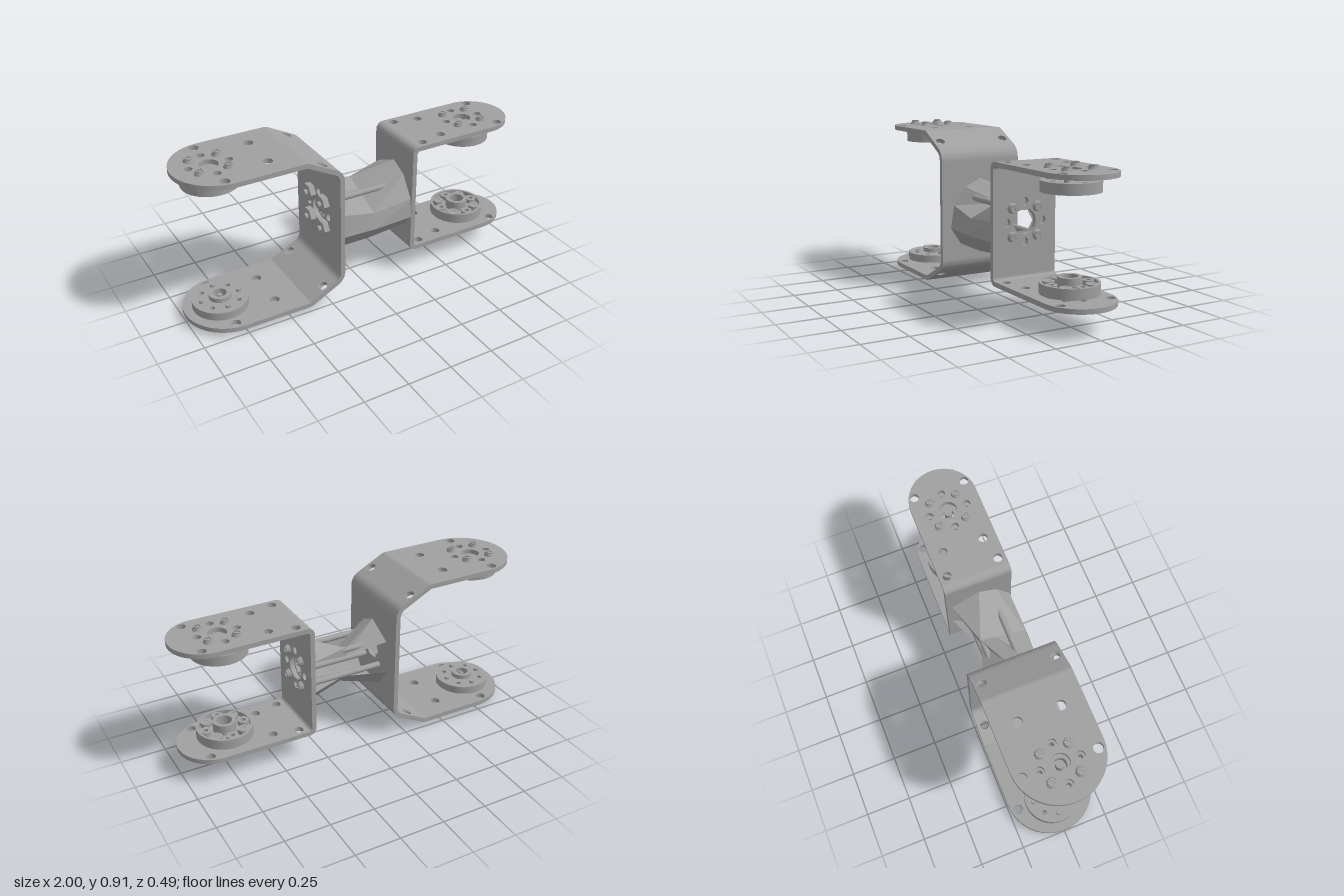
import * as THREE from 'three';
import { toCreasedNormals, mergeGeometries } from 'three/addons/utils/BufferGeometryUtils.js';

const CY = 0.4645; // height of the joint axis
const T = 0.026; // sheet thickness
const metal = new THREE.MeshStandardMaterial({ color: 0xa0a0a0 });
metal.name = 'grey metal';
const spacerGrey = new THREE.MeshStandardMaterial({ color: 0xa0a0a0, side: THREE.DoubleSide, flatShading: true });
spacerGrey.name = 'grey spacer';

function add(parent, name, geo, x = 0, y = 0, z = 0, mat = metal) {
  const m = new THREE.Mesh(geo, mat);
  m.name = name;
  m.position.set(x, y, z);
  parent.add(m);
  return m;
}
function group(parent, name) {
  const g = new THREE.Group();
  g.name = name;
  parent.add(g);
  return g;
}
const circle = (x, y, r) => new THREE.Path().absarc(x, y, r, 0, Math.PI * 2, true);
const solid = (shape, depth, segs = 12) => toCreasedNormals(
  new THREE.ExtrudeGeometry(shape, { depth, bevelEnabled: false, curveSegments: segs }), 0.6);

// Eight bolt positions round a centre; start 0 = axes, 0.5 = diagonals
function ringPoints(count, start, r = 0.107) {
  return Array.from({ length: count }, (_, i) => {
    const a = (i + start) * Math.PI * 2 / count;
    return [Math.cos(a) * r, Math.sin(a) * r];
  });
}
const boltPattern = (u, centreR) =>
  [[u, 0, centreR], ...ringPoints(8, 0).map(([a, b]) => [u + a, b, 0.022])];

// Disc or ring extruded up the y axis
function ringGeo(r, holes, y0, h, segs = 24) {
  const s = new THREE.Shape().absarc(0, 0, r, 0, Math.PI * 2, false);
  holes.forEach(([x, y, hr]) => s.holes.push(circle(x, y, hr)));
  return solid(s, h, segs).rotateX(-Math.PI / 2).translate(0, y0, 0);
}

// Folded sheet bracket: follows an outer polyline, flat plates joined by bends
function bracket(parent, name, pts, radii, hw, holes) {
  const g = group(parent, name);
  const P = pts.map(([x, y]) => new THREE.Vector2(x, y));
  const dirs = P.slice(1).map((p, i) => p.clone().sub(P[i]).normalize());
  const normals = dirs.map(d => new THREE.Vector2(d.y, -d.x));
  const cut = P.map((p, i) => {
    if (i === 0 || i === P.length - 1) return 0;
    return radii[i] * Math.tan(Math.acos(dirs[i - 1].dot(dirs[i])) / 2);
  });
  dirs.forEach((d, i) => {
    const n = normals[i], len = P[i].distanceTo(P[i + 1]);
    const a = cut[i], b = len - cut[i + 1], s = new THREE.Shape();
    if (i === 0) s.absarc(hw, 0, hw, Math.PI / 2, Math.PI * 1.5, false);
    else s.moveTo(a, hw).lineTo(a, -hw);
    if (i === dirs.length - 1) s.absarc(len - hw, 0, hw, -Math.PI / 2, Math.PI / 2, false);
    else s.lineTo(b, -hw).lineTo(b, hw);
    s.closePath();
    holes(i, len).forEach(([u, v, r]) => s.holes.push(circle(u, v, r)));
    const m = new THREE.Matrix4().makeBasis(new THREE.Vector3(d.x, d.y, 0),
      new THREE.Vector3(0, 0, 1), new THREE.Vector3(n.x, n.y, 0)).setPosition(P[i].x, P[i].y, 0);
    add(g, 'plate', solid(s, T, 16).applyMatrix4(m));
    if (i === 0) return;
    // bend at the start of this plate
    const R = radii[i], n0 = normals[i - 1];
    const c = P[i].clone().addScaledVector(dirs[i - 1], -cut[i]).addScaledVector(n0, R);
    const a0 = Math.atan2(-n0.y, -n0.x), a1 = a0 - Math.acos(dirs[i - 1].dot(d));
    const arc = new THREE.Shape().absarc(c.x, c.y, R, a0, a1, true);
    arc.absarc(c.x, c.y, R - T, a1, a0, false);
    add(g, 'bend', solid(arc, hw * 2, 6).translate(0, 0, -hw));
  });
  return g;
}

// Screw head with a cross recess, base at y = 0 and pointing up
function screwHead() {
  const cap = new THREE.Shape().absarc(0, 0, 0.022, 0, Math.PI * 2, false);
  const w = 0.004, l = 0.016;
  cap.holes.push(new THREE.Path([[w, w], [w, l], [-w, l], [-w, w], [-l, w], [-l, -w],
    [-w, -w], [-w, -l], [w, -l], [w, -w], [l, -w], [l, w]].map(p => new THREE.Vector2(...p))));
  const top = solid(cap, 0.009, 5).rotateX(-Math.PI / 2).rotateY(Math.PI / 4).translate(0, 0.013, 0);
  const base = new THREE.CylinderGeometry(0.024, 0.029, 0.014, 10).toNonIndexed().translate(0, 0.007, 0);
  return mergeGeometries([toCreasedNormals(base, 0.6), top]);
}
const rod = (r, h, segs = 10) => new THREE.CylinderGeometry(r, r, h, segs).translate(0, h / 2, 0);

// Round horn: plate side at y = 0, growing upward into the bracket
function horn(parent, name, { pocket, gap, h, boss, start, centreScrew }) {
  const g = group(parent, name);
  const small = ringPoints(8, 0).map(([x, z]) => [x, z, 0.014]);
  if (pocket) {
    add(g, 'hornBase', ringGeo(0.152, [[0, 0, 0.03], ...small], gap, h * 0.5));
    add(g, 'hornRim', ringGeo(0.152, [[0, 0, 0.138]], gap + h * 0.5, h * 0.5));
    ringPoints(8, 0).forEach(([x, z]) =>
      add(g, 'hornLug', ringGeo(0.031, [[0, 0, 0.014]], gap + h * 0.5, h * 0.45, 8), x, 0, z));
    add(g, 'hornHub', ringGeo(0.062, [[0, 0, 0.042]], gap + h * 0.5, h * 0.5 + boss));
  } else {
    add(g, 'hornDisc', ringGeo(0.152, [[0, 0, 0.05], ...small], gap, h));
    add(g, 'hornHub', ringGeo(0.06, [[0, 0, 0.036]], gap, h + boss));
  }
  add(g, 'hornCore', rod(0.022, gap + h * 0.6, 12));
  // screws through the plate
  const spots = ringPoints(4, start);
  if (centreScrew) spots.push([0, 0]);
  spots.forEach(([x, z]) => {
    add(g, 'screwHead', screwHead(), x, -T, z).rotation.x = Math.PI;
    add(g, 'screwShank', rod(0.013, T + gap + h + (boss && !pocket ? 0.014 : -0.004)), x, -T, z);
  });
  return g;
}

// Faceted hollow spacer lofted through three cross-sections of (y, z)
function spacer(parent) {
  const g = group(parent, 'spacer');
  const sections = [
    [-0.167, [[.175, 0], [.13, .1], [.03, .17], [-.1, .19], [-.19, .13], [-.19, -.08], [-.08, -.17], [.1, -.15]]],
    [0.05, [[.093, -.085], [.06, 0], [-.01, .18], [-.1, .2], [-.192, .13], [-.15, -.02], [-.1, -.06], [.04, -.085]]],
    [0.284, [[.175, 0], [.13, .1], [.01, .18], [-.1, .19], [-.17, .13], [-.18, -.08], [-.08, -.17], [.1, -.16]]],
  ];
  const pos = [], idx = [];
  sections.forEach(([x, ring]) => ring.forEach(([y, z]) => pos.push(x, y, z)));
  for (let s = 0; s < 2; s++) for (let k = 0; k < 8; k++) {
    if (k === 6) continue; // open back
    const a = s * 8 + k, b = s * 8 + (k + 1) % 8;
    idx.push(a, b, a + 8, b, b + 8, a + 8);
  }
  const geo = new THREE.BufferGeometry();
  geo.setAttribute('position', new THREE.Float32BufferAttribute(pos, 3));
  geo.setIndex(idx);
  geo.computeVertexNormals();
  add(g, 'spacerBody', geo, 0, 0, 0, spacerGrey);
  // end faces with a bore
  [sections[0], sections[2]].forEach(([x, ring]) => {
    const s = new THREE.Shape(ring.map(([y, z]) => new THREE.Vector2(-z, y)));
    s.holes.push(circle(0, 0, 0.064));
    add(g, 'spacerEnd', new THREE.ShapeGeometry(s, 3).rotateY(Math.PI / 2), x, 0, 0, spacerGrey);
  });
  g.position.y = CY;
}

export function createModel() {
  const model = new THREE.Group();
  model.name = 'servoBracketJoint';

  // Wide bracket with sloped shoulders
  const hL = 0.435;
  bracket(model, 'wideBracket',
    [[-1, hL], [-0.375, hL], [-0.168, 0.328], [-0.168, -0.328], [-0.375, -hL], [-1, -hL]],
    [0, 0.04, 0.08, 0.08, 0.04, 0], 0.243, (i, len) => {
      if (i === 2) return boltPattern(len / 2, 0.068);
      if (i === 1 || i === 3) return [-0.2, 0.2].map(v => [len / 2, v, 0.026]);
      const list = [...boltPattern(0.2, 0.05), ...[-1, 1].flatMap(s => [[0.2, 0.2 * s, 0.027], [0.465, 0.115 * s, 0.027]])];
      return i === 0 ? list : list.map(([u, v, r]) => [len - u, v, r]);
    }).position.y = CY;

  // Narrow square bracket, turned to face the other way
  const hR = 0.325;
  const narrow = bracket(model, 'narrowBracket',
    [[-1, hR], [-0.285, hR], [-0.285, -hR], [-1, -hR]],
    [0, 0.042, 0.042, 0], 0.19, (i, len) => {
      if (i === 1) return boltPattern(len / 2, 0.068);
      const list = [...boltPattern(0.263, 0.05), ...[-1, 1].flatMap(s =>
        [[0.125, 0.145 * s, 0.025], [0.49, 0.115 * s, 0.025], [0.63, 0.145 * s, 0.025]])];
      return i === 0 ? list : list.map(([u, v, r]) => [len - u, v, r]);
    });
  narrow.position.y = CY;
  narrow.rotation.y = Math.PI;

  // Horns on the four arms
  const place = (name, x, y, flip, o) => {
    const h = horn(model, name, o);
    h.position.set(x, y, 0);
    if (flip) h.rotation.x = Math.PI;
  };
  place('wideUpperHorn', -0.8, CY + hL - T, true, { gap: 0.019, h: 0.055, boss: 0, start: 0.5 });
  place('wideLowerHorn', -0.8, CY - hL + T, false, { gap: 0, h: 0.045, boss: 0.025, start: 0, centreScrew: true });
  place('narrowUpperHorn', 0.737, CY + hR - T, true, { pocket: true, gap: 0.028, h: 0.056, boss: 0, start: 0.5 });
  place('narrowLowerHorn', 0.737, CY - hR + T, false, { pocket: true, gap: 0.013, h: 0.056, boss: 0.028, start: 0.5 });

  // Spacer and its four long bolts with nuts
  spacer(model);
  ringPoints(4, 0.5).forEach(([a, b]) => {
    const bolt = group(model, 'throughBolt');
    add(bolt, 'boltShank', rod(0.017, 0.555, 12), 0, -0.555, 0);
    add(bolt, 'boltHead', screwHead());
    const nut = new THREE.CylinderGeometry(0.05, 0.05, 0.032, 6).toNonIndexed();
    add(bolt, 'nut', toCreasedNormals(nut, 0.5), 0, -0.521, 0);
    bolt.position.set(0.311, CY + a, b);
    bolt.rotation.z = -Math.PI / 2;
  });
  return model;
}
